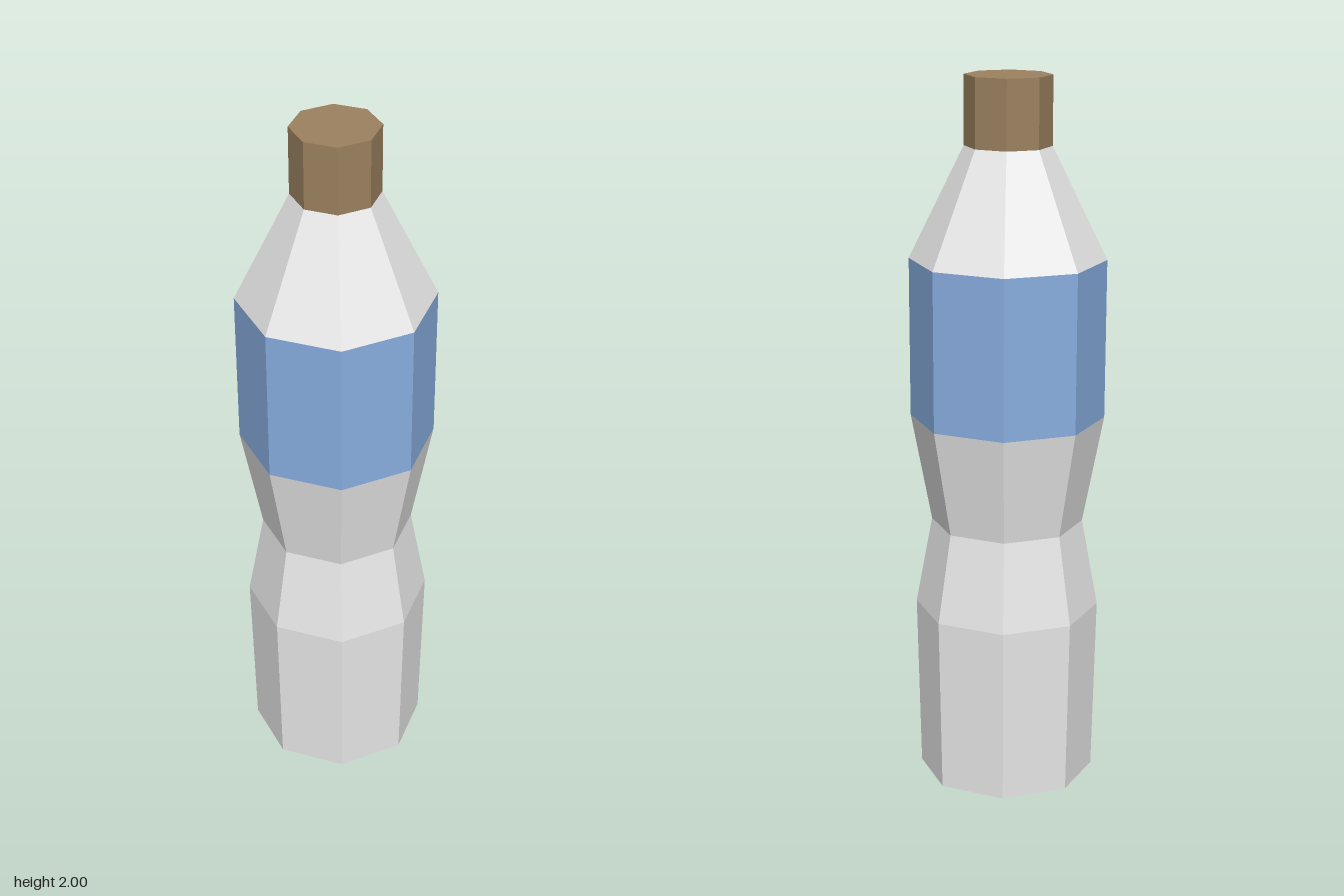
import * as THREE from 'three';

const SIDES = 8;
const TURN = 0.123; // angle of the first corner

// Faceted band revolved from [radius, height] points, listed bottom to top
function band(name, profile, material) {
  const points = profile.map(([r, y]) => new THREE.Vector2(r, y));
  const geometry = new THREE.LatheGeometry(points, SIDES, TURN).toNonIndexed();
  geometry.computeVertexNormals();
  const mesh = new THREE.Mesh(geometry, material);
  mesh.name = name;
  return mesh;
}

function paint(name, color) {
  const material = new THREE.MeshStandardMaterial({ color, flatShading: true });
  material.name = name;
  return material;
}

export function createModel() {
  const plastic = paint('pale grey', 0xe7e7e7);
  const blue = paint('label blue', 0x88addf);
  const brown = paint('cap brown', 0x9b815f);

  const bottle = new THREE.Group();
  bottle.name = 'bottle';
  bottle.add(
    // closed base, lower body and pinched waist
    band('lowerBody', [[0, 0], [0.248, 0], [0.259, 0.5], [0.213, 0.75], [0.271, 1.055]], plastic),
    band('label', [[0.271, 1.055], [0.272, 1.5]], blue),
    band('shoulder', [[0.272, 1.5], [0.12, 1.81]], plastic),
    band('cap', [[0.12, 1.81], [0.12, 2], [0, 2]], brown),
  );

  // very slight lean to one side
  bottle.rotation.z = 0.0035;
  bottle.position.x = 0.004;

  const model = new THREE.Group();
  model.name = 'model';
  model.add(bottle);
  return model;
}
